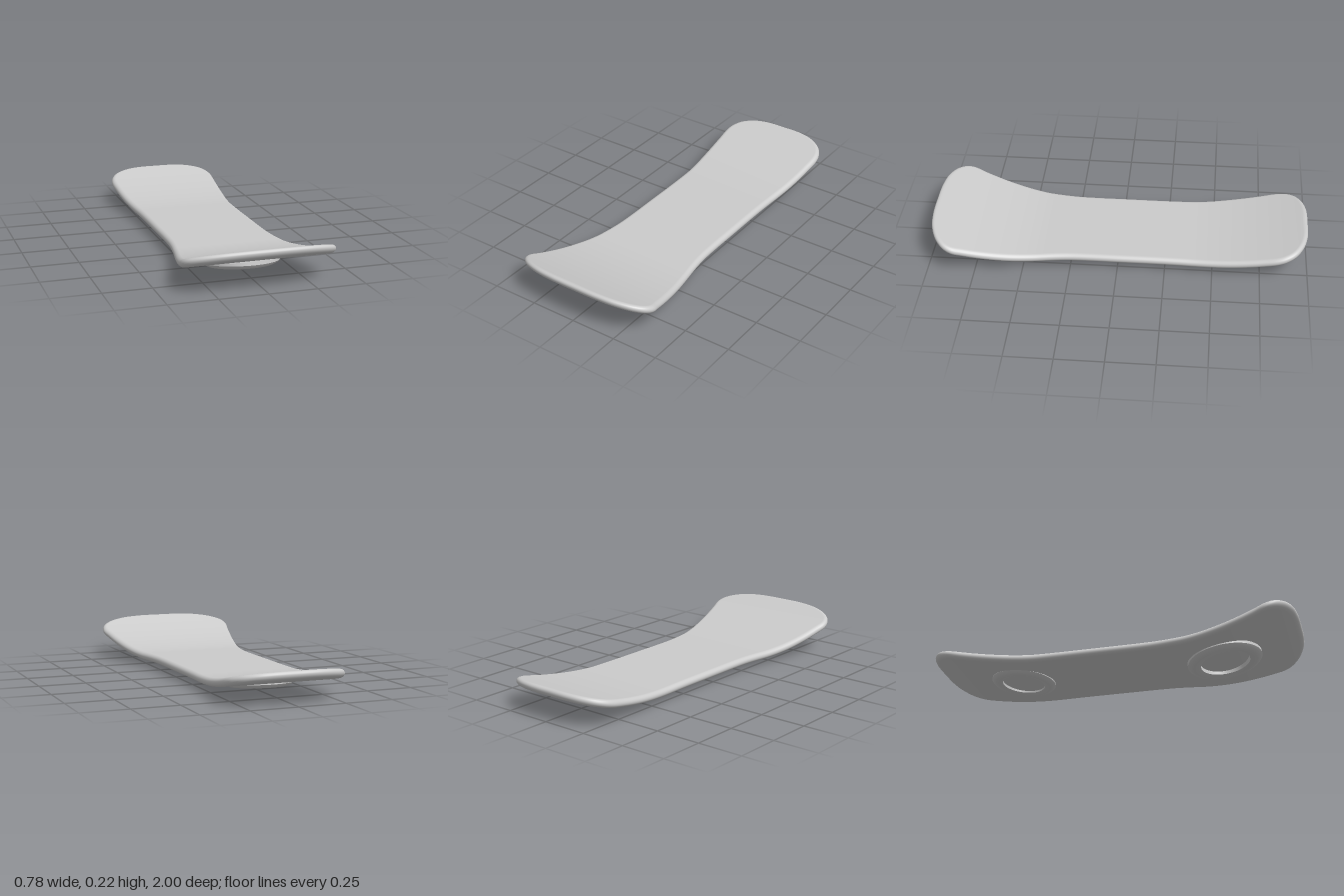
import * as THREE from 'three';
import { mergeVertices, toCreasedNormals } from 'three/addons/utils/BufferGeometryUtils.js';

const material = new THREE.MeshStandardMaterial({ color: 0xcccccc });
const HALF_THICKNESS = 0.022;
const EDGE_RADIUS = 0.025;

// Height of the board's mid surface: flat waist, tips curving up
function bend(z) {
  const front = Math.max(0, (z - 0.4) / 0.6);
  const back = Math.max(0, (-z - 0.37) / 0.63);
  return 0.056 + 0.147 * front ** 1.8 + 0.1 * back ** 1.8;
}

// Left half of the plan outline, [x, z] from front tip to back tip
const outline = new THREE.CatmullRomCurve3([
  [0, 1], [0.07, 1], [0.14, 0.997], [0.24, 0.983], [0.33, 0.948], [0.378, 0.905],
  [0.392, 0.86], [0.38, 0.8], [0.338, 0.6], [0.296, 0.4], [0.279, 0.27], [0.275, 0.15],
  [0.275, 0], [0.275, -0.25], [0.279, -0.4], [0.296, -0.6], [0.306, -0.75], [0.309, -0.845],
  [0.298, -0.89], [0.265, -0.938], [0.2, -0.977], [0.13, -0.995], [0.07, -1], [0, -1],
].map(([x, z]) => new THREE.Vector3(x, 0, z)));

// Deck: loops across the board with a rounded rim on both sides
function deckGeometry() {
  const sections = 200, arc = 10, loop = 2 * (arc + 1);
  const positions = [], index = [];
  for (let j = 0; j <= sections; j++) {
    const p = outline.getPointAt(j / sections);
    const t = outline.getTangentAt(j / sections);
    const rim = [];
    for (let i = 0; i <= arc; i++) {
      const a = Math.PI * (0.5 - i / arc);
      const inset = EDGE_RADIUS * (1 - Math.cos(a));
      const x = Math.max(0, p.x + t.z * inset);
      const z = p.z - t.x * inset;
      rim.push([x, bend(z) + HALF_THICKNESS * Math.sin(a), z]);
    }
    rim.forEach((v) => positions.push(...v));
    rim.reverse().forEach(([x, y, z]) => positions.push(-x, y, z));
  }
  for (let j = 0; j < sections; j++) {
    for (let k = 0; k < loop; k++) {
      const a = j * loop + k, b = j * loop + (k + 1) % loop;
      index.push(a, b, a + loop, b, b + loop, a + loop);
    }
  }
  const geometry = new THREE.BufferGeometry();
  geometry.setAttribute('position', new THREE.Float32BufferAttribute(positions, 3));
  geometry.setIndex(index);
  const merged = mergeVertices(geometry, 1e-5);
  merged.computeVertexNormals();
  return merged;
}

// Bevelled mounting ring hanging below its own origin
function ringGeometry(radius, depth) {
  const profile = [
    [0.66, 0], [0.66, -0.8], [0.75, -1], [0.85, -1], [0.95, -0.75], [1, -0.45], [1, 0], [0.66, 0],
  ].map(([r, y]) => new THREE.Vector2(r * radius, y * depth));
  return toCreasedNormals(new THREE.LatheGeometry(profile, 64), 0.5);
}

export function createModel() {
  const model = new THREE.Group();
  model.name = 'board';

  const add = (name, geometry) => {
    const mesh = new THREE.Mesh(geometry, material);
    mesh.name = name;
    model.add(mesh);
    return mesh;
  };

  add('deck', deckGeometry());

  // Rings tilted to follow the underside
  const frontRing = add('frontRing', ringGeometry(0.2, 0.036));
  frontRing.position.set(0, 0.062, 0.585);
  frontRing.rotation.x = -0.15;

  const backRing = add('backRing', ringGeometry(0.175, 0.032));
  backRing.position.set(0, 0.058, -0.53);
  backRing.rotation.x = 0.09;

  return model;
}
